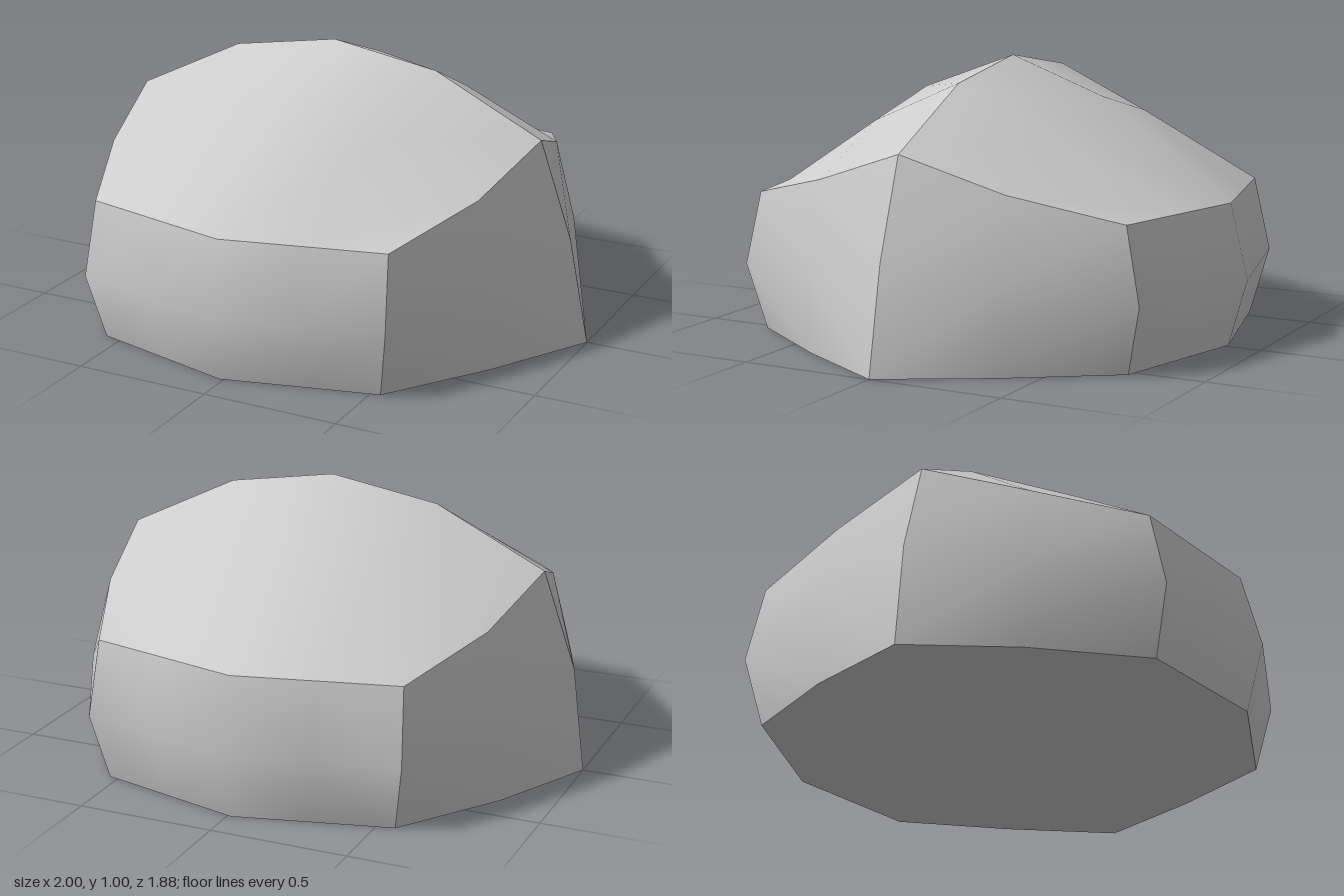
import * as THREE from 'three';

const C = -0.015; // the ridge peak sits slightly off centre
const stone = new THREE.MeshStandardMaterial({ color: 0xcccccc });
stone.name = 'grey stone';

// Smooth patch through rows of points; flip reverses the facing.
function patch(name, rows, flip) {
  const n = rows[0].length, index = [];
  for (let r = 0; r < rows.length - 1; r++) {
    for (let c = 0; c < n - 1; c++) {
      const a = r * n + c, b = a + 1, d = a + n, e = d + 1;
      if (flip) index.push(a, b, d, b, e, d);
      else index.push(a, d, b, b, d, e);
    }
  }
  const geo = new THREE.BufferGeometry();
  geo.setAttribute('position', new THREE.Float32BufferAttribute(rows.flat(2), 3));
  geo.setIndex(index);
  geo.computeVertexNormals();
  const mesh = new THREE.Mesh(geo, stone);
  mesh.name = name;
  return mesh;
}

// Symmetric row of five points from half-width, heights and depths (end, quarter, middle).
function row(w, ys, zs, quarter = w / 2) {
  return [-w, -quarter, 0, quarter, w].map((x, i) => {
    const k = 2 - Math.abs(i - 2);
    return [C + x, ys[k], zs[k]];
  });
}
const mirrorZ = (rows, s) => rows.map(r => r.map(([x, y, z]) => [x, y, z * s]));

export function createModel() {
  const group = new THREE.Group();
  group.name = 'boulder';

  // Sloping roof, from the ridge down to the brow
  const roof = [
    row(0.815, [0.732, 0.933, 1.0], [0, 0, 0], 0.405),
    row(0.735, [0.61, 0.775, 0.865], [0.365, 0.37, 0.37]),
    row(0.575, [0.515, 0.515, 0.515], [0.735, 0.803, 0.872]),
  ];
  // Bulging wall, from the brow to the ground
  const wall = [
    roof[2],
    row(0.593, [0.245, 0.245, 0.245], [0.793, 0.867, 0.94]),
    row(0.55, [0, 0, 0], [0.735, 0.803, 0.872]),
  ];

  const base = [];
  for (const s of [1, -1]) {
    const end = s > 0 ? 'front' : 'back';
    group.add(patch(end + 'Roof', mirrorZ(roof, s), s < 0));
    group.add(patch(end + 'Wall', mirrorZ(wall, s), s < 0));

    // Tapering cheeks on the left and right
    for (const t of [1, -1]) {
      const cheek = [
        [[C + t * 0.815, 0.732, 0], [C + t * 0.735, 0.61, 0.365], [C + t * 0.575, 0.515, 0.735]],
        [[C + t * 0.938, 0.38, 0], [C + t * 0.805, 0.315, 0.39], [C + t * 0.593, 0.245, 0.793]],
        [[t, 0, 0], [C + t * 0.8, 0, 0.375], [C + t * 0.55, 0, 0.735]],
      ];
      group.add(patch(end + (t > 0 ? 'Left' : 'Right') + 'Cheek', mirrorZ(cheek, s), s * t > 0));
    }
  }

  // Flat underside
  const half = [[1, 0], [C + 0.8, 0.375], [C + 0.55, 0.735], [C, 0.872], [C - 0.55, 0.735], [C - 0.8, 0.375], [-1, 0]];
  base.push(...half, ...half.slice(1, -1).reverse().map(([x, z]) => [x, -z]));
  const shape = new THREE.Shape(base.map(([x, z]) => new THREE.Vector2(x, z)));
  const underside = new THREE.Mesh(new THREE.ShapeGeometry(shape).rotateX(Math.PI / 2), stone);
  underside.name = 'underside';
  group.add(underside);

  return group;
}
